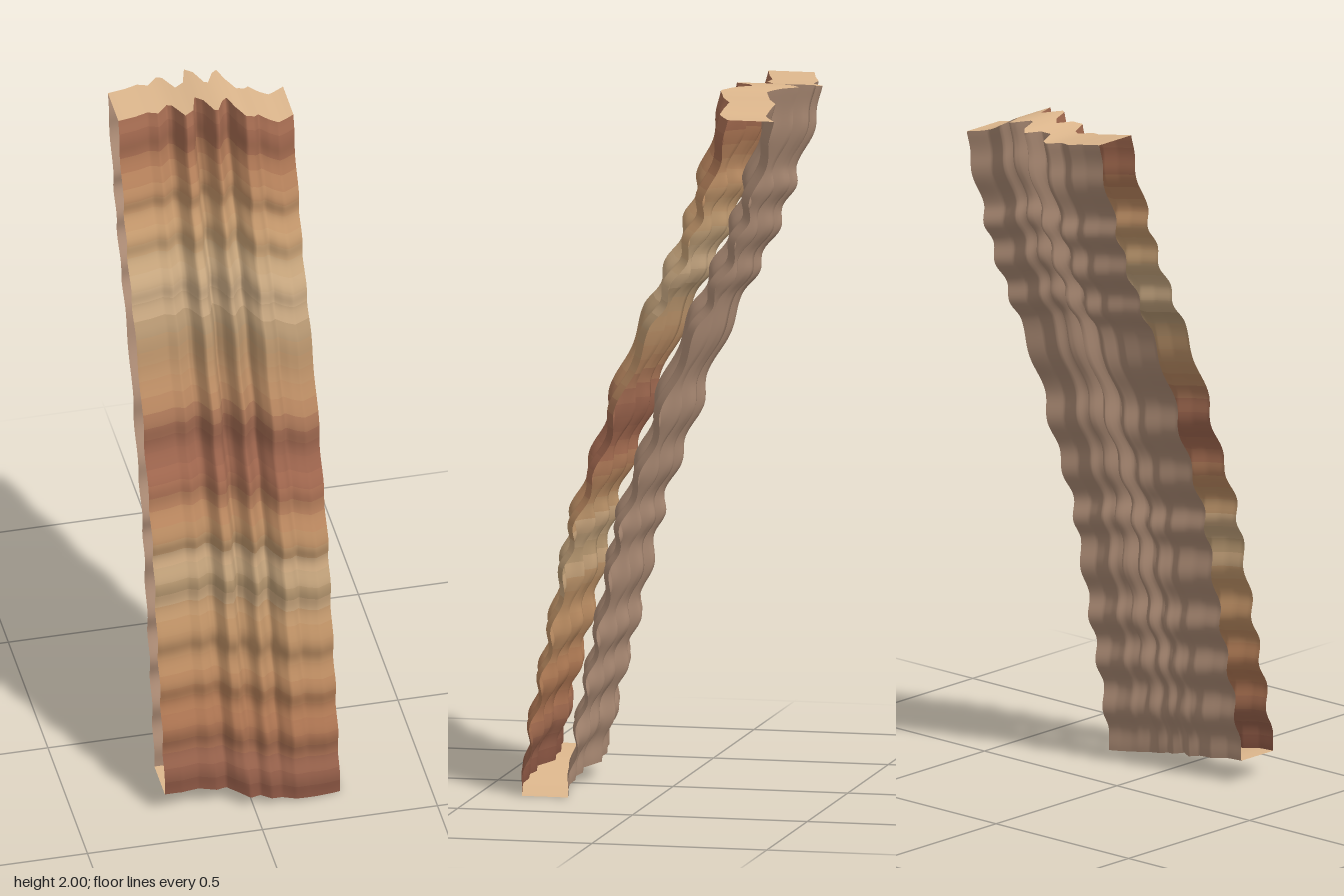
import * as THREE from 'three';

const COLS = 100, ROWS = 192, BANDS = 48, DEPTH = 0.132;

// piecewise-linear lookup through [position, value] pairs
function lookup(pts, x) {
  for (let i = 1; i < pts.length; i++) {
    const [a, va] = pts[i - 1], [b, vb] = pts[i];
    if (x <= b) return va + (vb - va) * Math.max(0, (x - a) / (b - a));
  }
  return pts[pts.length - 1][1];
}

// depth of the vertical ridges across the width, at the top and bottom edges
const ridgeTop = [[-0.25, -0.345], [-0.2, -0.36], [-0.16, -0.378], [-0.13, -0.37], [-0.1, -0.403],
  [-0.085, -0.395], [-0.06, -0.338], [-0.035, -0.35], [-0.02, -0.403], [0, -0.38], [0.02, -0.325],
  [0.03, -0.32], [0.05, -0.36], [0.065, -0.373], [0.08, -0.33], [0.103, -0.29], [0.13, -0.305],
  [0.145, -0.325], [0.17, -0.315], [0.2, -0.31], [0.25, -0.345]];
const ridgeBottom = [[-0.25, 0.372], [-0.2, 0.37], [-0.15, 0.355], [-0.1, 0.365], [-0.07, 0.352],
  [-0.04, 0.375], [-0.01, 0.4], [0.02, 0.385], [0.05, 0.4], [0.08, 0.393], [0.12, 0.4],
  [0.18, 0.39], [0.25, 0.374]];

// share of the top ridges at each height
const ridgeMix = [[0, 0], [0.1, 0.42], [0.2, 0.6], [0.4, 0.78], [0.6, 0.86], [1, 1]];

// heights at which the horizontal swells bulge forward
const swells = [-0.08, 0.07, 0.22, 0.36, 0.5, 0.67, 0.8, 0.96, 1.14, 1.375, 1.5, 1.63, 1.75, 1.95, 2.1]
  .map((y, i) => [(y - 0.02) / 1.96, i]);

// heights of the wavy top and bottom edges
const curve = values => new THREE.SplineCurve(values.map((y, i) => new THREE.Vector2(i, y)));
const edgeTop = curve([1.99, 1.985, 1.98, 1.978, 1.985, 1.996, 2, 1.99, 1.96, 1.937, 1.93]);
const edgeBottom = curve([0.07, 0.068, 0.062, 0.056, 0.047, 0.037, 0.027, 0.018, 0.01, 0.004, 0]);

// backward lean from bottom to top
const lean = curve([0.378, 0.342, 0.298, 0.256, 0.213, 0.14, 0.077, -0.01, -0.1, -0.165, -0.215]);

// a point of the rock face; u runs across, v runs up
function facePoint(u, v) {
  const x = -0.25 + 0.5 * u;
  const y = THREE.MathUtils.lerp(edgeBottom.getPoint(u).y, edgeTop.getPoint(u).y, v);
  const low = lookup(ridgeBottom, x) - 0.378, high = lookup(ridgeTop, x - 0.014 * (1 - v)) + 0.345;
  const fade = Math.min(1, v * 20, (1 - v) * 20);
  const wave = 0.01 * Math.cos(lookup(swells, v) * Math.PI * 2) * fade;
  return [x, y, lean.getPoint(v).y + THREE.MathUtils.lerp(low, high, lookup(ridgeMix, v)) + wave];
}

// smooth grid surface from a rule, with a flip for the facing direction
function grid(rule, cols, rows, flip) {
  const pos = [], index = [];
  for (let j = 0; j <= rows; j++)
    for (let i = 0; i <= cols; i++) pos.push(...rule(i / cols, j / rows));
  for (let j = 0; j < rows; j++)
    for (let i = 0; i < cols; i++) {
      const a = j * (cols + 1) + i, b = a + 1, c = a + cols + 1, d = c + 1;
      index.push(...(flip ? [a, c, b, b, c, d] : [a, b, c, b, d, c]));
    }
  const geo = new THREE.BufferGeometry();
  geo.setAttribute('position', new THREE.Float32BufferAttribute(pos, 3));
  geo.setIndex(index);
  geo.computeVertexNormals();
  return geo;
}

// a horizontal strip of rows cut from a grid, keeping its normals
function strip(geo, cols, first, count) {
  const w = (cols + 1) * 3, out = new THREE.BufferGeometry();
  for (const name of ['position', 'normal'])
    out.setAttribute(name, new THREE.BufferAttribute(
      geo.attributes[name].array.slice(first * w, (first + count + 1) * w), 3));
  out.setIndex(Array.from(geo.index.array.slice(0, count * cols * 6)));
  return out;
}

// strata colours by height
const strata = [[0, 0x85513f], [0.1, 0x95604a], [0.2, 0xa8704f], [0.3, 0xb07a54], [0.4, 0xb98a60],
  [0.55, 0xbe9266], [0.61, 0xc6a47c], [0.66, 0xae9069], [0.71, 0xcaa982], [0.78, 0xb58c62],
  [0.85, 0xb8865e], [0.95, 0xa56a50], [1.05, 0x96604a], [1.12, 0xa06a50], [1.2, 0xb88860],
  [1.33, 0xba936a], [1.39, 0xae906c], [1.47, 0xcaaa84], [1.55, 0xc4a47c], [1.62, 0xc49c70],
  [1.75, 0xbe8e64], [1.84, 0xb07a56], [1.91, 0x9a624a], [2, 0xaa7054]];
function strataColor(y) {
  const k = Math.max(1, strata.findIndex(s => s[0] >= y));
  const [a, ca] = strata[k - 1], [b, cb] = strata[k];
  return new THREE.Color(ca).lerp(new THREE.Color(cb), (y - a) / (b - a));
}

export function createModel() {
  const model = new THREE.Group();
  model.name = 'cliffPanel';
  const add = (name, geo, color, parent = model) => {
    const mesh = new THREE.Mesh(geo, new THREE.MeshStandardMaterial({ color, side: THREE.DoubleSide }));
    mesh.name = name;
    parent.add(mesh);
  };

  // front rock face, split into coloured strata
  const front = new THREE.Group();
  front.name = 'rockFace';
  model.add(front);
  const face = grid(facePoint, COLS, ROWS, false), step = ROWS / BANDS;
  for (let b = 0; b < BANDS; b++)
    add('stratum' + (b + 1), strip(face, COLS, b * step, step), strataColor((b + 0.5) * 2 / BANDS), front);

  // back sheet, parallel to the face; the two long sides stay open
  const behind = (u, v) => {
    const [x, y, z] = facePoint(u, v);
    return [x, y, z - DEPTH];
  };
  add('backSheet', grid(behind, COLS, ROWS, true), 0xa88872);

  // top and bottom caps joining the sheets
  const cap = v => (u, t) => {
    const [x, y, z] = facePoint(u, v);
    return [x, y, z - DEPTH * t];
  };
  add('topCap', grid(cap(1), COLS, 1, false), 0xdcb68c);
  add('bottomCap', grid(cap(0), COLS, 1, true), 0xdcb68c);
  return model;
}
